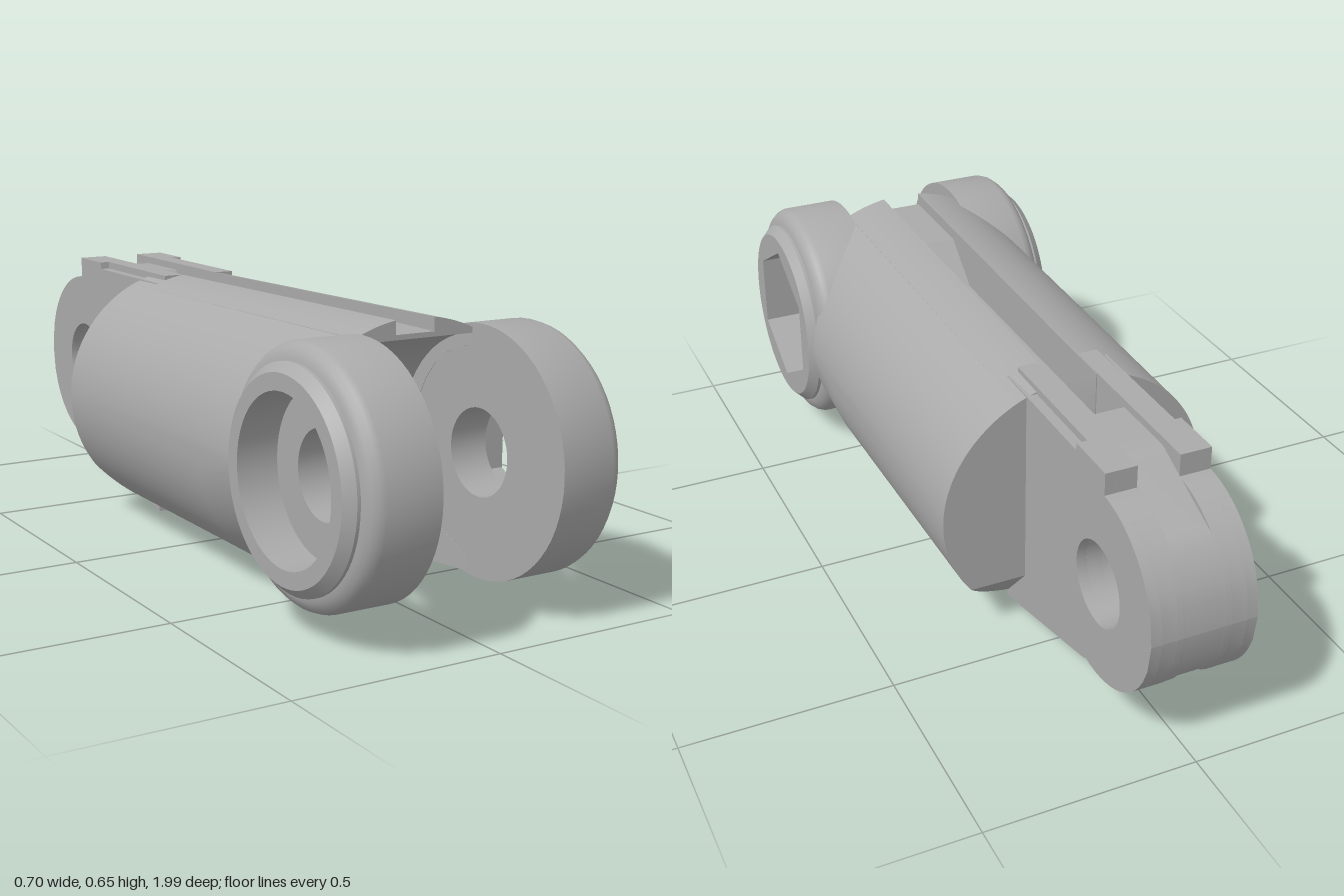
import * as THREE from 'three';
import { toCreasedNormals } from 'three/addons/utils/BufferGeometryUtils.js';

const grey = new THREE.MeshStandardMaterial({ color: 0xaaaaaa });
grey.name = 'grey metal';

const EAR = { y: 0.347, z: 0.713 };   // front pivot
const PIN = { y: 0.35, z: -0.76 };    // rear pivot
const BORE_Y = 0.147, BORE_R = 0.0625; // lengthwise bore

const steps = (a, b, n) => Array.from({ length: n + 1 }, (_, i) => a + (b - a) * i / n);
const bore = x => Math.sqrt(Math.max(0, BORE_R ** 2 - x * x));
const taper = z => (0.33 + 0.015 * (z + 0.4) / 1.08) / 0.345;

// Barrel surface, as functions of the sideways position u
const round = u => Math.sqrt(Math.max(0, 1 - (u / 0.345) ** 2));
const top = (u, z) => 0.325 + (0.315 + 0.015 * (z + 0.4) / 1.08) * round(u);
const bottom = u => 0.325 - 0.322 * round(u);
const backZ = y => -0.4 + Math.max(0, 0.13 - y) * 0.9;

// Solid made from side profiles [z, y] placed along x
function loft(name, us, profile, scale = () => 1) {
  const loops = us.map(u => profile(u));
  const flat = l => l.map(([z, y]) => new THREE.Vector2(-z, y));
  if (THREE.ShapeUtils.isClockWise(flat(loops[loops.length >> 1]))) loops.forEach(l => l.reverse());
  const n = loops[0].length, pos = [], idx = [];
  loops.forEach((l, k) => l.forEach(([z, y]) => pos.push(us[k] * scale(z), y, z)));
  for (let k = 0; k < us.length - 1; k++)
    for (let i = 0; i < n; i++) {
      const a = k * n + i, b = k * n + (i + 1) % n;
      idx.push(a, b, b + n, a, b + n, a + n);
    }
  const last = (us.length - 1) * n;
  for (const [a, b, c] of THREE.ShapeUtils.triangulateShape(flat(loops[0]), [])) idx.push(a, c, b);
  for (const [a, b, c] of THREE.ShapeUtils.triangulateShape(flat(loops[us.length - 1]), []))
    idx.push(last + a, last + b, last + c);
  const g = new THREE.BufferGeometry();
  g.setAttribute('position', new THREE.Float32BufferAttribute(pos, 3));
  g.setIndex(idx);
  return mesh(name, g);
}

function mesh(name, g) {
  const m = new THREE.Mesh(toCreasedNormals(g.index ? g.toNonIndexed() : g, 0.55), grey);
  m.name = name;
  return m;
}

// Barrel flank, ending in a hollow hidden inside the ear
function flankProfile(u) {
  const lo = bottom(u), hi = top(u, 0.6), y0 = Math.min(lo + 0.03, hi);
  const front = steps(0, 1, 16).map(t => {
    const y = y0 + (hi - y0) * t;
    return [Math.min(0.68, EAR.z - Math.sqrt(Math.max(0, 0.24 ** 2 - (y - EAR.y) ** 2))), y];
  });
  return [[backZ(lo), lo], [0.33, lo], ...front, [-0.4, top(u, -0.4)], [-0.4, Math.max(0.13, lo)]];
}

// Barrel core above the bore, with the concave fork wall in front
const wallZ = y => 0.33 + Math.max(0, y - 0.085) * 0.16;
function coreProfile(u, grooved) {
  const y = BORE_Y + bore(u);
  const arc = steps(Math.PI, Math.PI * 0.533, 14).map(a => [0.71 + 0.29 * Math.cos(a), 0.32 + 0.29 * Math.sin(a)]);
  const roof = grooved ? [[0.68, 0.62], [0.43, 0.62], [0.32, 0.53], [-0.4, 0.53]]
    : [[0.68, top(u, 0.68)], [-0.4, top(u, -0.4)]];
  return [[-0.4, y], [wallZ(y), y], [0.35, 0.212], ...arc, ...roof];
}

// Barrel core below the bore
function keelProfile(u) {
  const y = BORE_Y - bore(u), lo = bottom(u);
  return [[backZ(lo), lo], [0.33, lo], [0.33, Math.min(0.085, y)], [wallZ(y), y], [-0.4, y], [-0.4, Math.min(0.13, y)]];
}

// Rear tongue outline
const rim = z => Math.sqrt(Math.max(0, 0.235 ** 2 - (z - PIN.z) ** 2));
const slope = z => 0.005 + (-0.3 - z) * 0.262;
const tongueLow = z => z > -0.72 ? slope(z) : PIN.y - rim(z);
function tongueHigh(x, z) {
  if (x < 0.0501) {
    const floor = z > -0.44 ? 0.53 : z > -0.53 ? 0.53 + (-0.44 - z) : z > -0.7 ? 0.62 : 0.62 - (-0.7 - z) * 0.43;
    return z < -0.91 ? Math.min(floor, PIN.y + rim(z)) : floor;
  }
  if (z < -0.7751) return PIN.y + rim(z);
  return x > 0.1 && z > -0.645 ? 0.62 : 0.638;
}

// Half of the tongue, notched by half of the pin hole
function tongueProfile(x, mid, cut, back) {
  const floor = z => Math.max(tongueLow(z), cut ? BORE_Y + bore(x) : 0);
  const zs = back ? [-0.76, -0.775, -0.7752, ...steps(-0.79, -0.97, 12), -0.985, -0.995]
    : [-0.3, -0.44, -0.53, -0.644, -0.646, -0.7, -0.72, -0.74, -0.76];
  const hx = mid ? 0 : Math.max(0.051, x);
  const low = zs.map(z => [z, Math.min(floor(z), Math.max(0.35, tongueLow(z)))]);
  const high = zs.map(z => [z, Math.max(tongueHigh(hx, z), 0.351)]).reverse();
  const hole = steps(-Math.PI / 2, Math.PI / 2, 16).map(a => [PIN.z + (back ? -1 : 1) * 0.1 * Math.cos(a), PIN.y + 0.1 * Math.sin(a)]);
  return back ? [...low, ...high, ...hole.reverse()] : [...low, ...hole, ...high];
}

// Tongue strip below the bore
function tongueKeel(x) {
  const y = Math.min(0.115, BORE_Y - bore(x));
  return [[-0.3, 0.005], [-0.3 - (y - 0.005) / 0.262, y], [-0.3, y]];
}

// Ear disc with a recess of the given number of sides
function makeEar(name, sides) {
  const ear = new THREE.Group();
  ear.name = name;
  const outline = [[0.225, 0.153], [0.286, 0.153], [0.286, 0.285], [0.281, 0.299], [0.271, 0.311], [0.256, 0.318],
    [0.246, 0.32], [0.246, 0.328], [0.225, 0.35]];
  const shell = new THREE.LatheGeometry(outline.map(p => new THREE.Vector2(...p)), 64);
  ear.add(mesh('earShell', shell.rotateZ(-Math.PI / 2)));
  const ring = (part, r, n, x0, x1) => {
    const s = new THREE.Shape().absarc(0, 0, 0.225, 0, Math.PI * 2);
    s.holes.push(new THREE.Path(steps(0, 1, n).slice(0, n).map(t => {
      const a = Math.PI / 2 - t * Math.PI * 2;
      return new THREE.Vector2(r * Math.cos(a), r * Math.sin(a));
    })));
    const g = new THREE.ExtrudeGeometry(s, { depth: x1 - x0, bevelEnabled: false, curveSegments: 32 });
    ear.add(mesh(part, g.translate(0, 0, x0).rotateY(Math.PI / 2)));
  };
  ring('earWeb', 0.1, 40, 0.153, 0.25);
  ring('earRecess', 0.187, sides, 0.25, 0.35);
  ear.position.set(0, EAR.y, EAR.z);
  return ear;
}

export function createModel() {
  const model = new THREE.Group();
  model.name = 'linkArm';

  // Barrel
  const a0 = Math.asin(0.153 / 0.345);
  const flankUs = steps(a0, Math.PI / 2, 24).map(a => 0.345 * Math.sin(a));
  model.add(loft('leftFlank', flankUs, flankProfile, taper));
  model.add(loft('rightFlank', flankUs.map(u => -u).reverse(), flankProfile, taper));
  model.add(loft('barrelGroove', steps(-0.05, 0.05, 12), u => coreProfile(u, true), taper));
  for (const s of [-1, 1]) {
    const us = [...steps(0.05, BORE_R, 6), ...steps(0.08, 0.153, 5)].map(u => u * s).sort((a, b) => a - b);
    model.add(loft('barrelCore', us, u => coreProfile(u, false), taper));
  }
  const keelUs = [-0.153, -0.12, -0.09, ...steps(-Math.PI / 2, Math.PI / 2, 20).map(a => BORE_R * Math.sin(a)), 0.09, 0.12, 0.153];
  model.add(loft('barrelKeel', keelUs, keelProfile, taper));

  // Tongue
  const strips = [[-0.05, 0.05, 12, true, true], [0.05, BORE_R, 6, false, true], [BORE_R, 0.1, 1, false, false], [0.1001, 0.125, 1, false, false]];
  for (const [a, b, n, mid, cut] of strips)
    for (const s of mid ? [1] : [-1, 1])
      for (const back of [false, true]) {
        const us = steps(a, b, n).map(u => u * s).sort((p, q) => p - q);
        model.add(loft(back ? 'tongueEnd' : 'tongueRoot', us, u => tongueProfile(Math.abs(u), mid, cut, back)));
      }
  model.add(loft('tongueKeel', steps(-Math.PI / 2, Math.PI / 2, 20).map(a => BORE_R * Math.sin(a)), tongueKeel));

  // Fork ears: hexagonal recess on the left, round on the right
  model.add(makeEar('leftEar', 6));
  const right = makeEar('rightEar', 48);
  right.rotation.y = Math.PI;
  model.add(right);
  return model;
}
